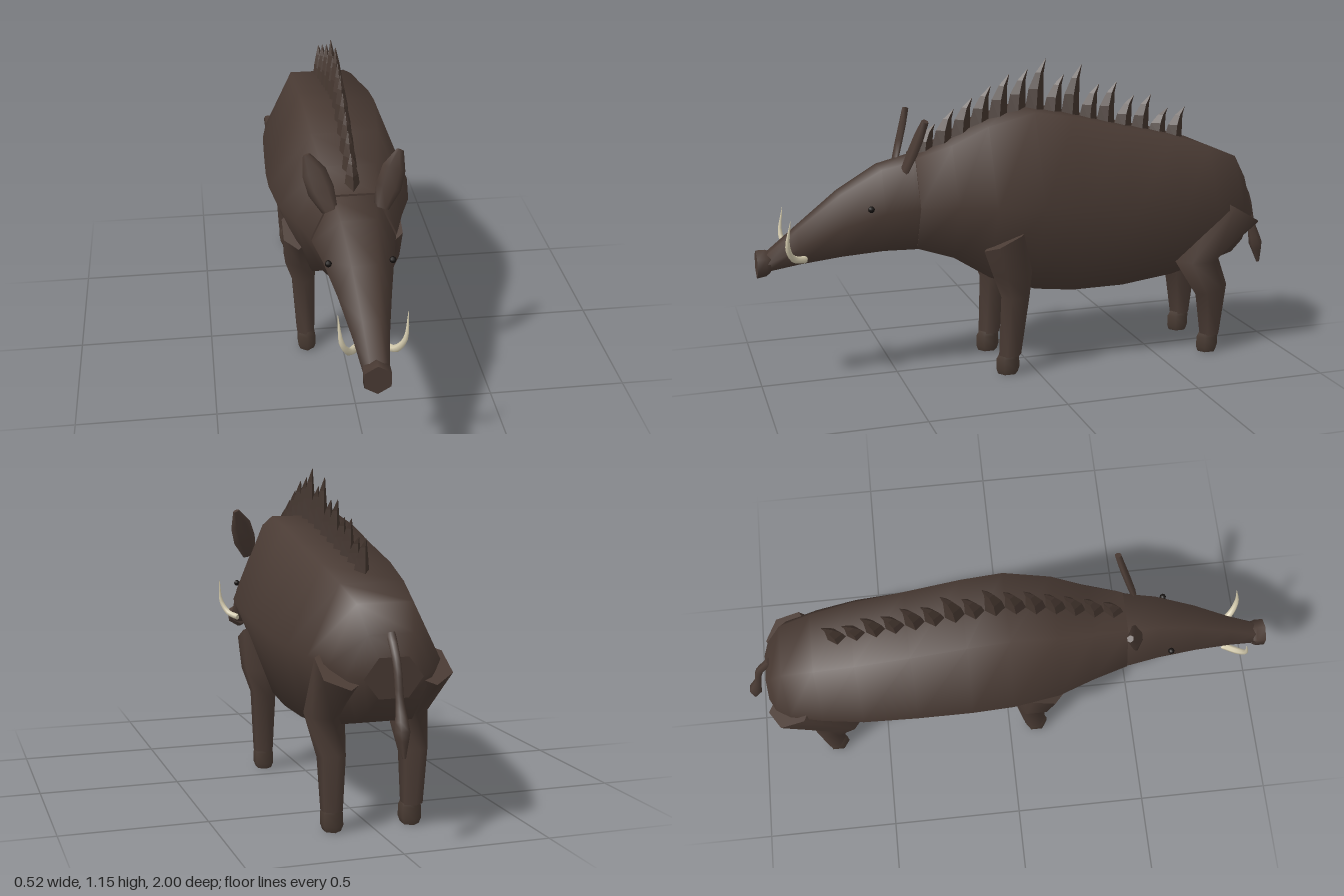
import * as THREE from 'three';

const mat = (name, color) => {
  const m = new THREE.MeshStandardMaterial({ color });
  m.name = name;
  return m;
};
const V = (x, y, z) => new THREE.Vector3(x, y, z);

// Skin over elliptical rings { c, u, v }; u x v points along the run of the rings.
function loft(rings, sides = 6, { side = 1, turn = 0, flat = false } = {}) {
  const pos = [], index = [];
  const point = ({ c, u, v }, j) => {
    const a = turn + (j / sides) * Math.PI * 2;
    const p = c.clone().addScaledVector(u, Math.cos(a)).addScaledVector(v, side * Math.sin(a));
    return [side * p.x, p.y, p.z];
  };
  rings.forEach((r) => { for (let j = 0; j < sides; j++) pos.push(...point(r, j)); });
  for (let i = 0; i < rings.length - 1; i++) {
    for (let j = 0; j < sides; j++) {
      const a = i * sides + j, b = i * sides + (j + 1) % sides;
      index.push(a, b, a + sides, b, b + sides, a + sides);
    }
  }
  // End caps with their own corners keep the rims sharp
  [rings[0], rings[rings.length - 1]].forEach((r, end) => {
    const s = pos.length / 3;
    for (let j = 0; j < sides; j++) pos.push(...point(r, j));
    for (let j = 1; j < sides - 1; j++) index.push(s, ...(end ? [s + j, s + j + 1] : [s + j + 1, s + j]));
  });
  let g = new THREE.BufferGeometry();
  g.setAttribute('position', new THREE.Float32BufferAttribute(pos, 3));
  g.setIndex(index);
  if (flat) g = g.toNonIndexed();
  g.computeVertexNormals();
  return g;
}

// Ring facing +z: z, top, bottom, half width
const faceRing = ([z, top, bottom, w]) => ({
  c: V(0, (top + bottom) / 2, z), u: V(w, 0, 0), v: V(0, (top - bottom) / 2 / 0.866, 0),
});
// Ring facing up: x, y, z, half depth, half width, rise towards the front
const upRing = ([x, y, z, depth, w, rise = 0]) => ({ c: V(x, y, z), u: V(0, rise, depth), v: V(w, 0, 0) });

// Curved tube with changing radius
function taperedTube(points, radii, side = 1, steps = 12, sides = 6) {
  const curve = new THREE.CatmullRomCurve3(points.map((p) => V(...p)));
  const frames = curve.computeFrenetFrames(steps);
  const rings = [];
  for (let i = 0; i <= steps; i++) {
    const t = (i / steps) * (radii.length - 1), k = Math.min(Math.floor(t), radii.length - 2);
    const r = THREE.MathUtils.lerp(radii[k], radii[k + 1], t - k);
    rings.push({
      c: curve.getPoint(i / steps),
      u: frames.normals[i].clone().multiplyScalar(r),
      v: frames.binormals[i].clone().multiplyScalar(r),
    });
  }
  return loft(rings, sides, { side });
}

export function createModel() {
  const group = new THREE.Group();
  group.name = 'boar';
  const hide = mat('hide brown', 0x4a3b34);
  const bristle = mat('bristle brown', 0x44362f);
  const horn = mat('hoof brown', 0x483a32);
  const ivory = mat('tusk ivory', 0xd6cdb0);
  const dark = mat('eye black', 0x15110f);
  const add = (name, geometry, material) => {
    const m = new THREE.Mesh(geometry, material);
    m.name = name;
    group.add(m);
  };

  // Body, from rump to neck
  const body = [
    [-0.9, 0.6, 0.47, 0.1], [-0.875, 0.67, 0.42, 0.15], [-0.82, 0.76, 0.38, 0.19],
    [-0.7, 0.81, 0.35, 0.22], [-0.55, 0.855, 0.32, 0.243], [-0.35, 0.9, 0.297, 0.252],
    [-0.15, 0.95, 0.297, 0.26], [0, 0.975, 0.315, 0.26], [0.17, 0.93, 0.37, 0.235],
    [0.3, 0.865, 0.45, 0.19], [0.43, 0.82, 0.49, 0.15],
  ];
  add('body', loft(body.map(faceRing)), hide);

  // Head, from neck to muzzle
  const head = [
    [0.38, 0.825, 0.49, 0.15], [0.44, 0.81, 0.488, 0.145], [0.55, 0.785, 0.488, 0.122],
    [0.7, 0.7, 0.475, 0.09], [0.85, 0.585, 0.455, 0.06], [0.965, 0.495, 0.435, 0.042],
  ];
  add('head', loft(head.map(faceRing)), hide);

  // Snout disc
  const snout = [[0.95, 0.5, 0.43, 0.045], [0.965, 0.505, 0.42, 0.05], [0.998, 0.505, 0.415, 0.05]];
  add('snout', loft(snout.map(faceRing), 6, { turn: Math.PI / 6 }), hide);

  // Mane of backswept four-sided bristles along the spine
  const tips = [0.93, 0.98, 1.02, 1.06, 1.1, 1.115, 1.15, 1.09, 1.125, 1.05, 1.055, 1.0, 1.0, 0.945, 0.945];
  const spineY = (z) => {
    const k = Math.max(1, body.findIndex((r) => r[0] >= z));
    const [a, b] = [body[k - 1], body[k]];
    return THREE.MathUtils.mapLinear(z, a[0], b[0], a[1], b[1]);
  };
  tips.forEach((tip, i) => {
    const z = 0.385 - i * 0.0704, y = spineY(z) - 0.015, h = tip - y;
    const rings = [
      [0, y, z, 0.037, 0.028], [0, y + h * 0.45, z - 0.008, 0.029, 0.021],
      [0, y + h * 0.75, z - 0.022, 0.016, 0.012], [0, tip, z - 0.045, 0.001, 0.001],
    ];
    add('maneBristle', loft(rings.map(upRing), 4, { flat: true }), bristle);
  });

  // Tail with a tuft
  add('tail', taperedTube(
    [[0, 0.67, -0.87], [0, 0.58, -0.925], [0, 0.47, -0.95], [0, 0.38, -0.975], [0, 0.3, -0.99]],
    [0.016, 0.014, 0.014, 0.026, 0.006]), hide);

  for (const side of [1, -1]) {
    const prefix = side > 0 ? 'left' : 'right';

    // Front leg, hoof to shoulder
    add(prefix + 'FrontLeg', loft([
      [0.14, 0.07, 0.1, 0.043, 0.037], [0.145, 0.3, 0.08, 0.055, 0.048],
      [0.157, 0.39, 0.095, 0.075, 0.066], [0.17, 0.525, 0.12, 0.085, 0.058, -0.04],
    ].map(upRing), 6, { side }), hide);

    // Hind leg, hoof to thigh
    add(prefix + 'HindLeg', loft([
      [0.14, 0.07, -0.715, 0.041, 0.037], [0.142, 0.25, -0.715, 0.065, 0.045, -0.015],
      [0.145, 0.375, -0.65, 0.09, 0.065], [0.143, 0.56, -0.815, 0.093, 0.085, 0.055],
    ].map(upRing), 6, { side }), hide);

    // Hooves
    for (const [name, z] of [['FrontHoof', 0.108], ['HindHoof', -0.707]]) {
      add(prefix + name, loft([
        [0.137, 0.0, z, 0.038, 0.03], [0.137, 0.02, z, 0.045, 0.038],
        [0.137, 0.06, z, 0.044, 0.037], [0.137, 0.08, z - 0.004, 0.036, 0.031],
      ].map(upRing), 6, { side }), horn);
    }

    // Leaf-shaped ear
    add(prefix + 'Ear', loft([
      [0.087, 0.785, 0.472, 0.028], [0.114, 0.85, 0.45, 0.046],
      [0.135, 0.91, 0.43, 0.042], [0.158, 0.968, 0.412, 0.013],
    ].map(([x, y, z, w]) => ({
      c: V(x, y, z), u: V(0.92 * w, -0.38 * w, 0), v: V(0, -0.003, -0.012),
    })), 6, { side }), hide);

    // Tusk
    add(prefix + 'Tusk', taperedTube(
      [[0.045, 0.475, 0.83], [0.075, 0.49, 0.875], [0.102, 0.54, 0.897], [0.112, 0.635, 0.885]],
      [0.013, 0.013, 0.009, 0.001], side), ivory);

    // Eye
    const eye = new THREE.SphereGeometry(0.012, 8, 6);
    eye.translate(side * 0.108, 0.655, 0.6);
    add(prefix + 'Eye', eye, dark);
  }
  return group;
}
